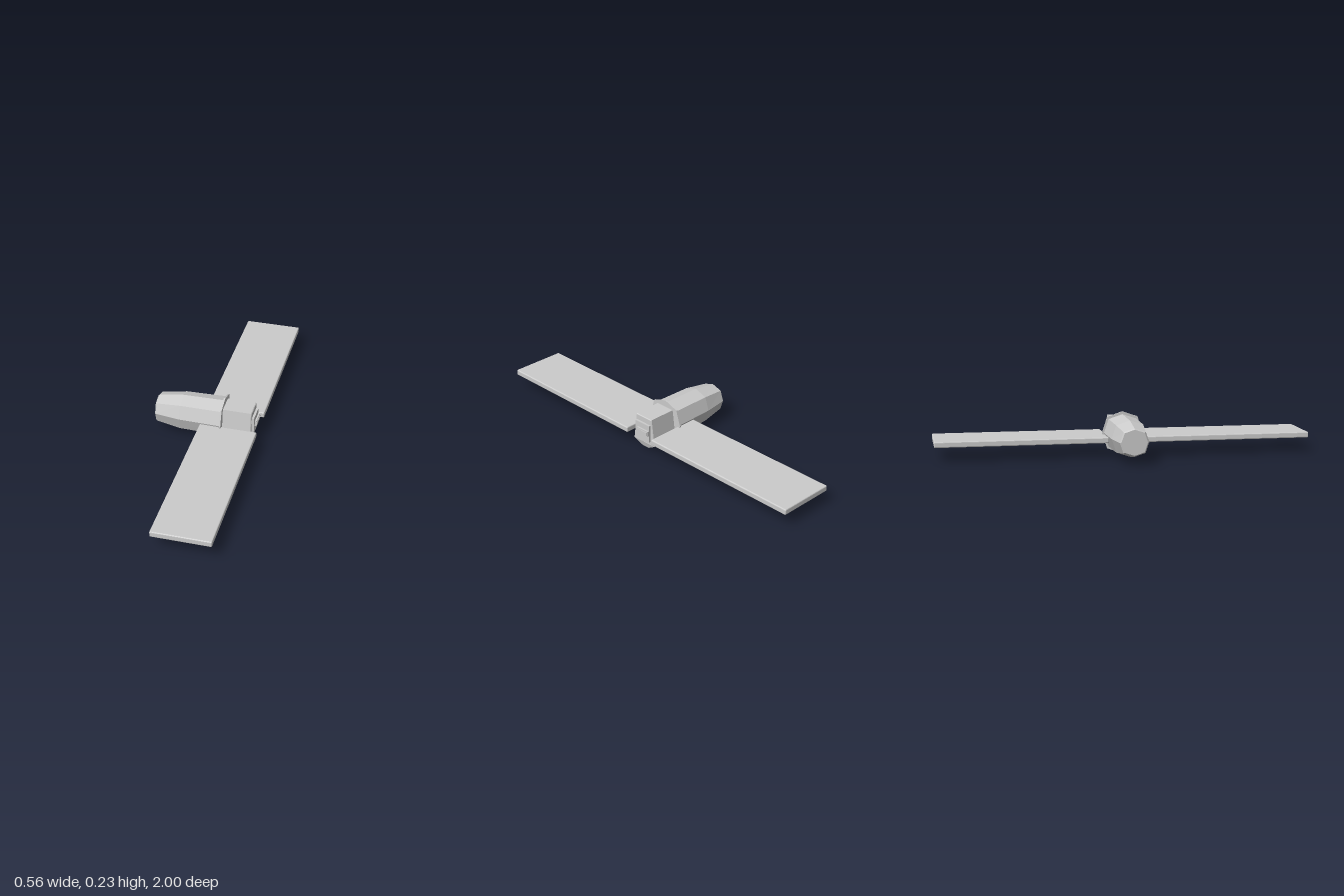
import * as THREE from 'three';
import { RoundedBoxGeometry } from 'three/addons/geometries/RoundedBoxGeometry.js';

const material = new THREE.MeshStandardMaterial({ color: 0xcccccc, flatShading: true });

// Closed loft along x; every section is { x, pts: [[y, z], ...] } running from the top towards +z
function loft(sections) {
  const n = sections[0].pts.length, pos = [], idx = [];
  sections.forEach(s => s.pts.forEach(([y, z]) => pos.push(s.x, y, z)));
  for (let s = 0; s < sections.length - 1; s++) {
    for (let i = 0; i < n; i++) {
      const a = s * n + i, b = s * n + (i + 1) % n;
      idx.push(a, b, a + n, b, b + n, a + n);
    }
  }
  const last = (sections.length - 1) * n;
  for (let i = 1; i < n - 1; i++) {
    idx.push(0, i + 1, i, last, last + i, last + i + 1);
  }
  const indexed = new THREE.BufferGeometry();
  indexed.setAttribute('position', new THREE.Float32BufferAttribute(pos, 3));
  indexed.setIndex(idx);
  const g = indexed.toNonIndexed();
  g.computeVertexNormals();
  return g;
}

// Eight-sided section with a ridge at top and bottom
function octagon(x, ry, rz, cy = 0.114) {
  const pts = [];
  for (let i = 0; i < 8; i++) {
    const a = i * Math.PI / 4, k = i % 2 ? 1.06 : 1;
    pts.push([cy + ry * k * Math.cos(a), rz * k * Math.sin(a)]);
  }
  return { x, pts };
}

// Mirrored section from half-outline points [y, z] on the +z side
function mirrored(x, half) {
  return { x, pts: [...half, ...half.slice().reverse().map(([y, z]) => [y, -z])] };
}

export function createModel() {
  const model = new THREE.Group();
  const add = (name, geometry, x = 0, y = 0, z = 0) => {
    const mesh = new THREE.Mesh(geometry, material);
    mesh.name = name;
    mesh.position.set(x, y, z);
    model.add(mesh);
  };
  const box = (name, x0, x1, y0, y1, z0, z1) => add(name,
    new THREE.BoxGeometry(x1 - x0, y1 - y0, z1 - z0),
    (x0 + x1) / 2, (y0 + y1) / 2, (z0 + z1) / 2);

  // Tapered faceted hull with a small bevel at its narrow end
  add('hull', loft([
    octagon(-0.278, 0.067, 0.069),
    octagon(-0.272, 0.073, 0.076),
    octagon(-0.14, 0.095, 0.095),
    octagon(0.082, 0.098, 0.1),
  ]));

  // Flange between the hull and the head
  add('flange', loft([octagon(0.079, 0.113, 0.109), octagon(0.087, 0.113, 0.109)]));

  // Head block, wider towards its base
  const head = [[0.19, 0.055], [0.04, 0.075]];
  const headFace = [[0.187, 0.052], [0.043, 0.072]];
  add('head', loft([
    mirrored(0.08, head), mirrored(0.237, head), mirrored(0.241, headFace),
  ]));

  // Chin wedge below the head
  add('chin', loft([
    mirrored(0.08, [[0.04, 0.075], [0.009, 0.022]]),
    mirrored(0.239, [[0.04, 0.074], [0.009, 0.022]]),
  ].map((s, i) => (i ? { x: s.x, pts: s.pts } : s))).translate(0, 0, 0));
  const chin = model.children[model.children.length - 1].geometry;
  const p = chin.attributes.position;
  for (let i = 0; i < p.count; i++) {
    if (p.getX(i) > 0.2 && p.getY(i) < 0.02) p.setX(i, 0.23);
  }
  chin.computeVertexNormals();

  // Stepped plates on the head's end face
  box('facePlate', 0.238, 0.253, 0.062, 0.158, -0.05, 0.05);
  box('faceBar', 0.25, 0.262, 0.1, 0.128, -0.05, 0.03);
  box('faceStud', 0.26, 0.265, 0.105, 0.121, -0.045, 0.025);

  // Long flat wings on both sides
  for (const [name, side] of [['frontWing', 1], ['backWing', -1]]) {
    const inner = 0.089, length = 1 - inner;
    add(name, new RoundedBoxGeometry(0.305, 0.031, length, 2, 0.006),
      0.1245, 0.09, side * (inner + length / 2));
  }
  return model;
}
